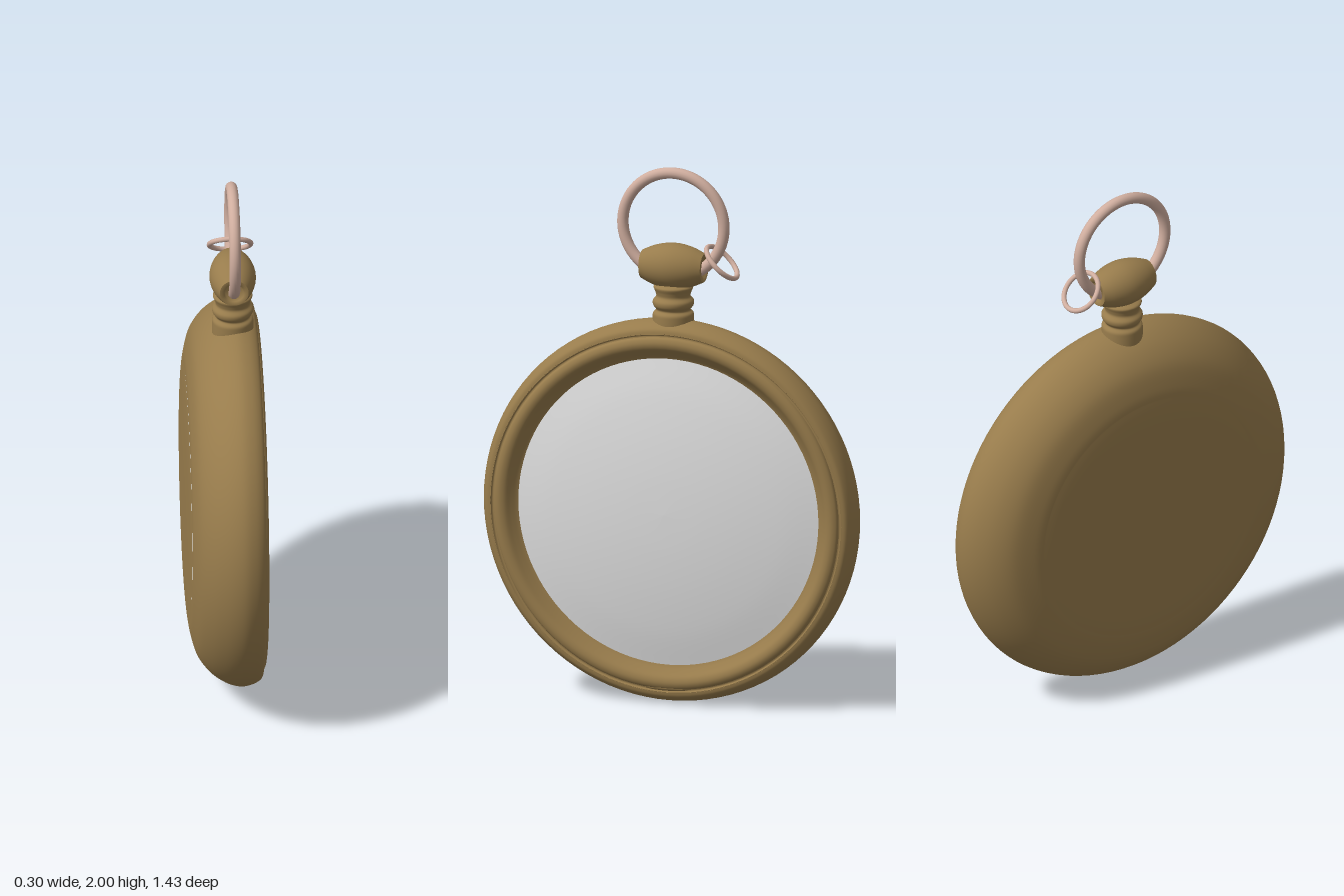
import * as THREE from 'three';

const mat = (name, color) => {
  const m = new THREE.MeshStandardMaterial({ color });
  m.name = name;
  return m;
};

// Smooth curve through [radius, height] points
const smooth = (pts, n) =>
  new THREE.SplineCurve(pts.map(p => new THREE.Vector2(...p))).getPoints(n)
    .map(p => new THREE.Vector2(Math.max(p.x, 0), p.y));

export function createModel() {
  const gold = mat('antique gold', 0x987c4c);
  const rose = mat('rose metal', 0xd0ae9f);
  const white = mat('white dial', 0xe2e2e2);

  const group = new THREE.Group();
  group.name = 'pocketWatch';
  const cx = 0.03, cy = 0.718;

  const add = (name, geometry, material, x, y, z = 0) => {
    const mesh = new THREE.Mesh(geometry, material);
    mesh.name = name;
    mesh.position.set(x, y, z);
    group.add(mesh);
    return mesh;
  };
  // Lathe turned so that its axis runs along +x
  const disc = (name, pts, n, material) =>
    add(name, new THREE.LatheGeometry(smooth(pts, n), 96).rotateZ(-Math.PI / 2), material, 0, cy);

  // Case: flat back lid, then a rounded flank
  disc('backLid', [[0, -0.151], [0.25, -0.15], [0.42, -0.146], [0.48, -0.142]], 12, gold);
  disc('caseBody', [[0.47, -0.141], [0.52, -0.136], [0.6, -0.113], [0.66, -0.07], [0.7, -0.015],
    [0.717, 0.04], [0.71, 0.085], [0.692, 0.115], [0.672, 0.122]], 40, gold);

  // Bezel: groove, raised rim and a slope down to the dial
  disc('bezelGroove', [[0.674, 0.122], [0.668, 0.115], [0.662, 0.116]], 6, gold);
  disc('bezel', [[0.663, 0.114], [0.656, 0.126], [0.638, 0.132], [0.618, 0.126],
    [0.6, 0.108], [0.585, 0.094], [0.572, 0.086]], 28, gold);

  // Domed crystal over the dial
  disc('dialGlass', [[0.576, 0.09], [0.45, 0.114], [0.3, 0.133], [0.15, 0.144], [0, 0.148]], 24, white);

  // Thumb lip at the bottom of the bezel
  const lip = add('thumbLip', new THREE.SphereGeometry(1, 24, 12), gold, 0.112, 0.062);
  lip.scale.set(0.014, 0.012, 0.09);

  // Ringed neck
  add('neck', new THREE.LatheGeometry(smooth([[0.076, 1.38], [0.076, 1.435], [0.074, 1.455], [0.063, 1.468],
    [0.074, 1.485], [0.075, 1.502], [0.063, 1.518], [0.066, 1.535], [0.072, 1.555], [0.05, 1.565]], 45), 40),
    gold, cx, 0);

  // Barrel crown lying along z, with recessed ends for the bow
  const cyCrown = 1.63;
  add('crown', new THREE.LatheGeometry(smooth([[0.053, -0.118], [0.07, -0.08], [0.081, -0.04], [0.085, 0],
    [0.081, 0.04], [0.07, 0.08], [0.053, 0.118]], 28), 40).rotateX(Math.PI / 2), gold, cx, cyCrown);
  for (const s of [1, -1]) {
    const cap = new THREE.LatheGeometry([[0.053, 0.118], [0.036, 0.118], [0.034, 0.1], [0, 0.1]]
      .map(p => new THREE.Vector2(...p)), 40).rotateX(s * Math.PI / 2);
    add(s > 0 ? 'crownEndFront' : 'crownEndBack', cap, gold, cx, cyCrown);
  }

  // Bow and the small link hanging on it
  add('bow', new THREE.TorusGeometry(0.194, 0.021, 16, 72).rotateY(Math.PI / 2), rose, cx, 1.785);
  add('link', new THREE.TorusGeometry(0.076, 0.0095, 12, 48).rotateX(Math.PI / 4), rose, cx, 1.657, -0.186);

  return group;
}
